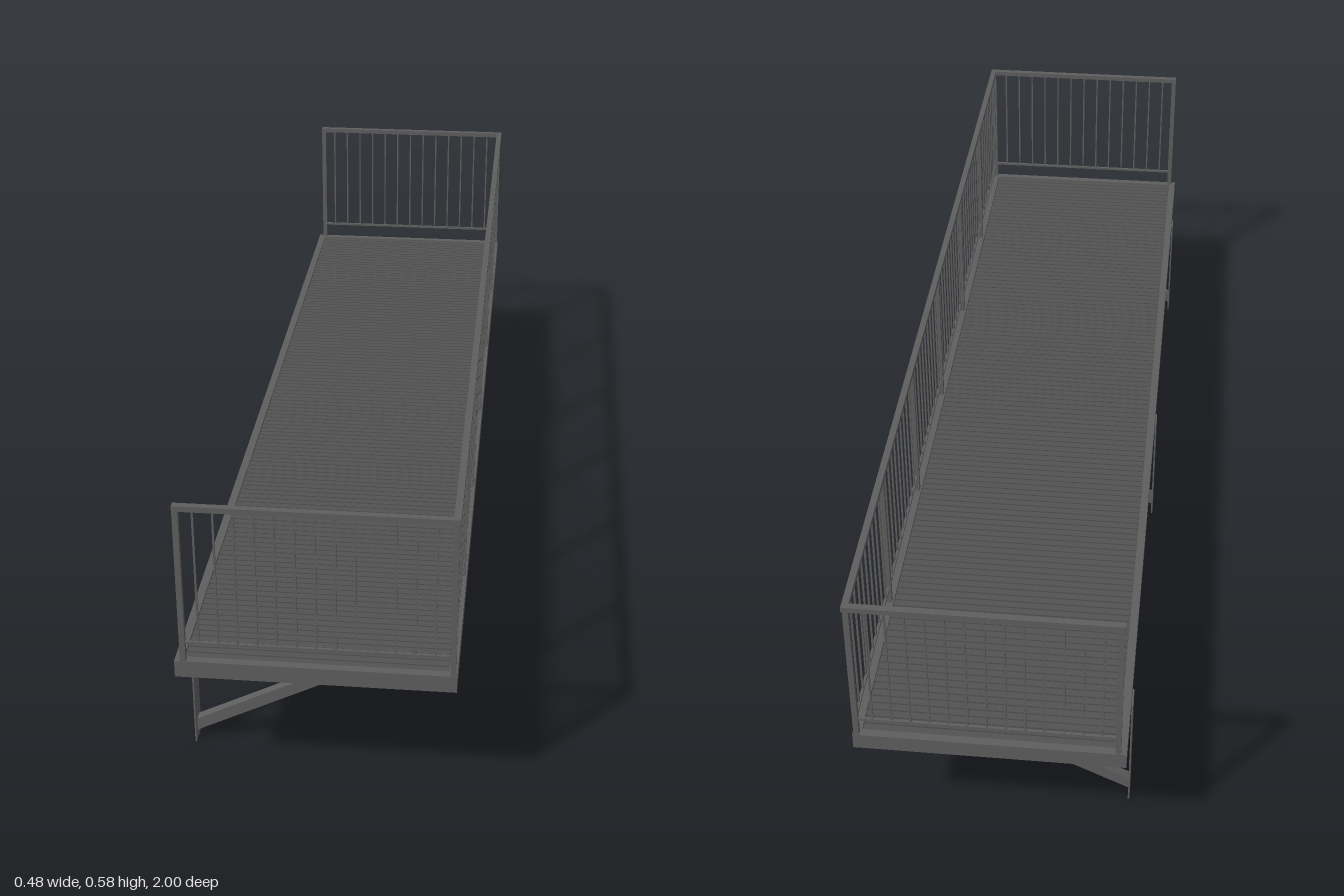
import * as THREE from 'three';

export function createModel() {
  const model = new THREE.Group();
  const steel = new THREE.MeshStandardMaterial({ color: 0x5e5e5e });
  steel.name = 'grey steel';
  const decking = new THREE.MeshStandardMaterial({ color: 0x525252 });
  decking.name = 'dark decking';

  const group = (name, parent = model) => {
    const g = new THREE.Group();
    g.name = name;
    parent.add(g);
    return g;
  };
  // Box given by its lower and upper limits on each axis
  const box = (name, parent, [x0, x1], [y0, y1], [z0, z1], material = steel) => {
    const mesh = new THREE.Mesh(new THREE.BoxGeometry(x1 - x0, y1 - y0, z1 - z0), material);
    mesh.position.set((x0 + x1) / 2, (y0 + y1) / 2, (z0 + z1) / 2);
    mesh.name = name;
    parent.add(mesh);
    return mesh;
  };
  const around = (c, width) => [c - width / 2, c + width / 2];

  // Perimeter frame and cross beams
  const frame = group('platformFrame');
  const frameY = [0.247, 0.279];
  box('outerBeam', frame, [0.226, 0.241], frameY, [-1, 1]);
  box('wallBeam', frame, [-0.24, -0.225], frameY, [-1, 1]);
  for (const s of [-1, 1]) box('endBeam', frame, [-0.225, 0.226], frameY, around(s * 0.9925, 0.015));
  for (let i = -2; i <= 2; i++) {
    box('crossBeam', frame, [-0.225, 0.226], [0.247, 0.264], around(i / 3, 0.018));
  }

  // Deck: a base sheet with narrow slats running across
  const deck = group('deck');
  box('deckBase', deck, [-0.225, 0.226], [0.264, 0.271], [-0.985, 0.985], decking);
  const slats = 118;
  const pitch = 1.97 / slats;
  for (let i = 0; i < slats; i++) {
    const z = -0.985 + (i + 0.5) * pitch;
    box('deckSlat', deck, [-0.224, 0.225], [0.271, 0.277], around(z, pitch - 0.003), decking);
  }

  // Railings
  const topY = [0.572, 0.582];
  const lowY = [0.312, 0.317];
  const postY = [0.279, 0.572];
  const barY = [0.317, 0.572];
  const step = 0.0334;
  const railX = 0.234;
  const railZ = 0.994;
  const bar = 0.0034;

  // Long railing on the outer side
  const side = group('sideRailing');
  box('topRail', side, [0.229, 0.241], topY, [-1, 1]);
  box('bottomRail', side, around(railX, 0.005), lowY, [-railZ, railZ]);
  for (const s of [-1, 1]) box('cornerPost', side, around(railX, 0.01), postY, around(s * railZ, 0.01));
  for (let k = -9; k <= 49; k++) {
    const z = 0.679 - k * step;
    if (k >= 0 && k % 10 === 0) box('post', side, around(railX, 0.01), postY, around(z, 0.01));
    else box('baluster', side, around(railX, bar), barY, around(z, bar));
  }

  // Short railings at both ends
  for (const s of [-1, 1]) {
    const end = group(s > 0 ? 'frontRailing' : 'backRailing');
    const z = s * railZ;
    box('topRail', end, [-0.23, 0.229], topY, around(z, 0.012));
    box('bottomRail', end, [-0.22, 0.229], lowY, around(z, 0.005));
    box('wallPost', end, [-0.23, -0.22], postY, around(z, 0.01));
    for (let k = 0; k < 13; k++) {
      box('baluster', end, around(-0.197 + k * step, bar), barY, around(z, bar));
    }
  }

  // Wall brackets: plate, sloping brace and bolt
  const braceShape = new THREE.Shape([
    new THREE.Vector2(-0.24, 0.017),
    new THREE.Vector2(0.213, 0.248),
    new THREE.Vector2(0.164, 0.248),
    new THREE.Vector2(-0.24, 0.042),
  ]);
  const braceWidth = 0.018;
  const braceGeometry = new THREE.ExtrudeGeometry(braceShape, { depth: braceWidth, bevelEnabled: false });
  braceGeometry.translate(0, 0, -braceWidth / 2);
  const boltGeometry = new THREE.CylinderGeometry(0.0045, 0.0045, 0.005, 6);
  boltGeometry.rotateZ(Math.PI / 2);
  for (const z of [-0.835, 0, 0.835]) {
    const bracket = group('wallBracket');
    bracket.position.z = z;
    box('wallPlate', bracket, [-0.243, -0.24], [0, 0.25], around(0, 0.042));
    const brace = new THREE.Mesh(braceGeometry, steel);
    brace.name = 'brace';
    const bolt = new THREE.Mesh(boltGeometry, steel);
    bolt.name = 'bolt';
    bolt.position.set(-0.2375, 0.223, 0);
    bracket.add(brace, bolt);
  }

  // Drain pipes below the deck
  const pipeGeometry = new THREE.CylinderGeometry(0.005, 0.005, 0.07, 16);
  for (const x of [0.041, 0.163]) {
    const pipe = new THREE.Mesh(pipeGeometry, steel);
    pipe.name = 'drainPipe';
    pipe.position.set(x, 0.232, 0.49);
    model.add(pipe);
  }

  return model;
}
